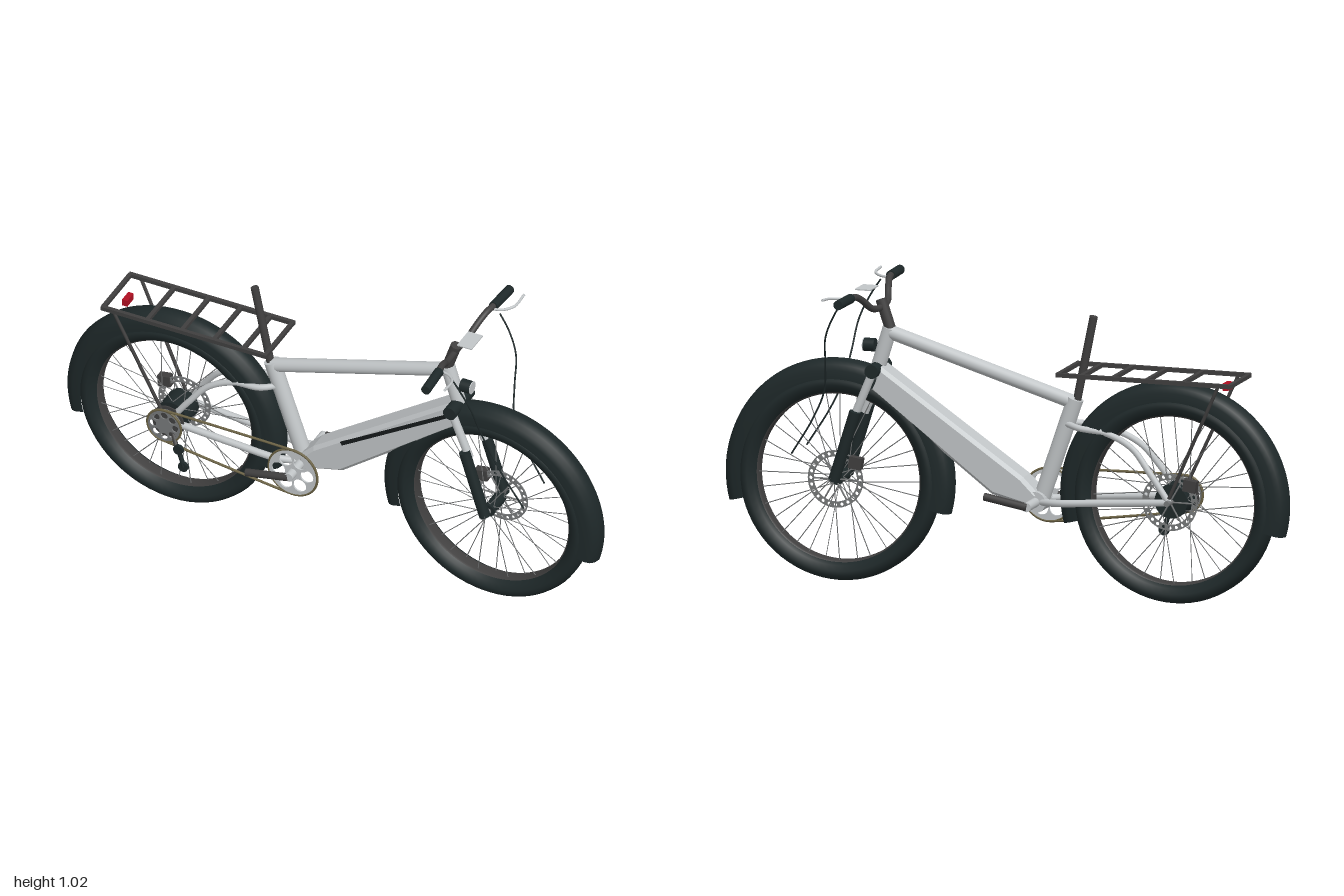
import * as THREE from 'three';

const mat = (name, color) => {
  const m = new THREE.MeshStandardMaterial({ color, side: THREE.DoubleSide });
  m.name = name;
  return m;
};
const V = (x, y, z) => new THREE.Vector3(x, y, z);

export function createModel() {
  const model = new THREE.Group();
  model.name = 'bicycle';
  const silver = mat('frame silver', 0xc2c6c8);
  const rubber = mat('tyre black', 0x1e2829);
  const dark = mat('dark grey metal', 0x403f3f);
  const black = mat('black', 0x15191a);
  const steel = mat('spoke steel', 0x77797a);
  const red = mat('red lens', 0xb01022);
  const brass = mat('chain bronze', 0x6a6143);

  const add = (name, geo, material, parent = model) => {
    const m = new THREE.Mesh(geo, material);
    m.name = name;
    parent.add(m);
    return m;
  };
  // straight round bar from a to b
  const rod = (name, a, b, r, material, parent = model, sides = 16) => {
    const d = b.clone().sub(a);
    const m = add(name, new THREE.CylinderGeometry(r, r, d.length(), sides), material, parent);
    m.position.copy(a).addScaledVector(d, 0.5);
    m.quaternion.setFromUnitVectors(V(0, 1, 0), d.normalize());
    return m;
  };
  const bent = (name, pts, r, material, closed = false, seg = 40) =>
    add(name, new THREE.TubeGeometry(new THREE.CatmullRomCurve3(pts, closed), seg, r, 10, closed), material);
  const box = (name, w, h, d, x, y, z, material) => {
    const m = add(name, new THREE.BoxGeometry(w, h, d), material);
    m.position.set(x, y, z);
    return m;
  };
  // lathe turned so that its axis runs along z
  const spin = (pts, seg, start = 0, len = Math.PI * 2) =>
    new THREE.LatheGeometry(pts.map(p => new THREE.Vector2(p[0], p[1])), seg, start, len).rotateX(Math.PI / 2);
  // disc with a ring of holes, facing z
  const drilled = (r, bore, count, at, hole, depth) => {
    const s = new THREE.Shape().absarc(0, 0, r, 0, Math.PI * 2);
    const cut = (x, y, q) => s.holes.push(new THREE.Path().absarc(x, y, q, 0, Math.PI * 2, true));
    if (bore) cut(0, 0, bore);
    for (let i = 0; i < count; i++) {
      const a = (i / count) * Math.PI * 2;
      cut(at * Math.cos(a), at * Math.sin(a), hole);
    }
    return new THREE.ExtrudeGeometry(s, { depth, bevelEnabled: false, curveSegments: 24 }).translate(0, 0, -depth / 2);
  };

  const AY = 0.353, RX = -0.597, FX = 0.59;
  const BX = -0.115, BY = 0.318;

  // wheels with tyre, rim, mudguard, spokes, hub and brake disc
  const tyre = spin([[0.291, -0.022], [0.3, -0.036], [0.318, -0.047], [0.333, -0.047], [0.346, -0.036], [0.353, -0.015],
    [0.353, 0.015], [0.346, 0.036], [0.333, 0.047], [0.318, 0.047], [0.3, 0.036], [0.291, 0.022]], 72);
  const rim = spin([[0.291, 0.022], [0.286, 0.018], [0.286, -0.018], [0.291, -0.022]], 72);
  const guard = spin([[0.34, -0.048], [0.37, -0.047], [0.388, -0.039], [0.4, -0.024], [0.406, 0],
    [0.4, 0.024], [0.388, 0.039], [0.37, 0.047], [0.34, 0.048]], 56, Math.PI * 0.418, Math.PI * 1.164);
  for (const [side, x] of [['rear', RX], ['front', FX]]) {
    const w = new THREE.Group();
    w.name = side + 'Wheel';
    w.position.set(x, AY, 0);
    model.add(w);
    add('tyre', tyre, rubber, w);
    add('rim', rim, dark, w);
    add('mudguard', guard, rubber, w);
    const hub = side === 'rear' ? 0.058 : 0.022;
    rod('hub', V(0, 0, -0.045), V(0, 0, 0.045), hub, rubber, w, 28);
    rod('axle', V(0, 0, -0.09), V(0, 0, 0.09), 0.01, steel, w);
    for (let i = 0; i < 32; i++) {
      const a = (i / 32) * Math.PI * 2, z = i % 2 ? 0.035 : -0.035;
      const b = a + (i % 4 < 2 ? 0.55 : -0.55);
      rod('spoke', V(hub * Math.cos(b), hub * Math.sin(b), z), V(0.29 * Math.cos(a), 0.29 * Math.sin(a), z * 0.3), 0.0017, steel, w, 4);
    }
    const disc = add('brakeDisc', drilled(0.098, 0.077, 24, 0.0875, 0.006, 0.004), steel, w);
    disc.position.z = -0.054;
    for (let i = 0; i < 6; i++) {
      const a = (i / 6) * Math.PI * 2;
      rod('discArm', V(0, 0, -0.054), V(0.08 * Math.cos(a), 0.08 * Math.sin(a), -0.054), 0.003, steel, w, 6);
    }
    box(side + 'Caliper', 0.045, 0.04, 0.03, x - 0.075, 0.415, -0.06, dark).rotation.z = 0.15;
  }

  // main frame
  rod('seatTube', V(-0.125, 0.33, 0), V(-0.243, 0.675, 0), 0.028, silver, model, 24);
  rod('topTube', V(-0.24, 0.66, 0), V(0.42, 0.86, 0), 0.024, silver, model, 24);
  rod('headTube', V(0.415, 0.873, 0), V(0.462, 0.72, 0), 0.025, silver, model, 24);
  rod('bottomBracket', V(BX, BY, -0.045), V(BX, BY, 0.045), 0.036, silver, model, 24);

  // boxy down tube with chamfered edges and a dark slot
  const outline = [[0.435, 0.745], [0.475, 0.665], [0.04, 0.335], [-0.12, 0.295], [-0.125, 0.345], [-0.07, 0.4]];
  const body = new THREE.Shape(outline.map(p => new THREE.Vector2(p[0], p[1])));
  add('downTube', new THREE.ExtrudeGeometry(body, {
    depth: 0.071, bevelThickness: 0.014, bevelSize: 0.012, bevelOffset: -0.012, bevelSegments: 1,
  }).translate(0, 0, -0.0355), silver);
  const slot = box('batterySlot', 0.465, 0.014, 0.004, 0.238, 0.578, 0.0495, black);
  slot.rotation.z = Math.atan2(0.245, 0.395);

  // stays
  for (const s of [1, -1]) {
    bent('chainStay', [V(-0.12, 0.318, s * 0.03), V(-0.2, 0.323, s * 0.058), V(-0.35, 0.335, s * 0.064), V(RX, AY, s * 0.066)], 0.0125, silver);
    bent('seatStay', [V(-0.215, 0.59, s * 0.015), V(-0.27, 0.582, s * 0.042), V(-0.37, 0.568, s * 0.038), V(-0.46, 0.525, s * 0.045),
      V(-0.525, 0.45, s * 0.058), V(RX, AY, s * 0.066)], 0.011, silver);
  }

  // seat post
  rod('seatPost', V(-0.245, 0.65, 0), V(-0.308, 0.96, 0), 0.014, dark);

  // fork
  rod('forkCrown', V(0.457, 0.732, -0.073), V(0.457, 0.732, 0.073), 0.024, rubber, model, 20);
  for (const s of [1, -1]) {
    rod('forkUpper', V(0.463, 0.715, s * 0.056), V(0.525, 0.565, s * 0.058), 0.0145, silver);
    rod('forkLower', V(0.514, 0.592, s * 0.073), V(0.59, 0.35, s * 0.073), 0.0195, rubber);
  }

  // stem, handlebar, grips, levers and cables
  rod('stem', V(0.414, 0.87, 0), V(0.447, 0.968, 0), 0.019, dark);
  const half = [[0.447, 0.945, 0.055], [0.453, 0.955, 0.09], [0.466, 0.985, 0.13], [0.477, 1.005, 0.17], [0.485, 1.008, 0.215], [0.49, 1.005, 0.3]];
  bent('handlebar', [...half.slice().reverse().map(p => V(p[0], p[1], -p[2])), V(0.444, 0.942, 0), ...half.map(p => V(...p))], 0.0115, dark, false, 80);
  for (const s of [1, -1]) {
    rod('grip', V(0.484, 1.007, s * 0.205), V(0.49, 1.005, s * 0.318), 0.0165, rubber);
    bent('brakeLever', [V(0.49, 1.003, s * 0.195), V(0.52, 1.004, s * 0.205), V(0.548, 1.008, s * 0.235), V(0.552, 1.014, s * 0.3)], 0.0045, silver);
    bent('brakeCable', [V(0.515, 0.995, s * 0.192), V(0.55, 0.94, s * 0.188), V(0.585, 0.86, s * 0.172), V(0.598, 0.76, s * 0.135),
      V(0.615, 0.66, s * 0.099), V(0.66, 0.56, s * 0.087), V(0.738, 0.435, s * 0.078)], 0.003, rubber);
  }
  box('display', 0.055, 0.004, 0.086, 0.498, 1.004, 0, silver);

  // headlight
  rod('headlight', V(0.467, 0.81, 0), V(0.505, 0.81, 0), 0.0225, rubber, model, 24);
  rod('headlightLens', V(0.505, 0.81, 0), V(0.508, 0.81, 0), 0.0225, silver, model, 24);

  // luggage rack and rear light
  for (const s of [1, -1]) {
    box('rackRail', 0.62, 0.014, 0.014, -0.52, 0.773, s * 0.104, dark);
    rod('rackLeg', V(-0.785, 0.77, s * 0.104), V(RX - 0.005, 0.37, s * 0.08), 0.006, dark, model, 10);
  }
  for (const x of [-0.825, -0.66, -0.53, -0.41, -0.3, -0.217]) box('rackBar', 0.014, 0.013, 0.208, x, 0.773, 0, dark);
  box('rearLight', 0.02, 0.024, 0.048, -0.783, 0.753, 0, red);

  // sprockets, chainring and cranks
  [0.06, 0.053, 0.046].forEach((r, i) => rod('sprocket', V(RX, AY, 0.068 + i * 0.01), V(RX, AY, 0.073 + i * 0.01), r, i % 2 ? steel : dark, model, 32));
  const cog = add('outerSprocket', drilled(0.06, 0, 8, 0.042, 0.013, 0.005), steel);
  cog.position.set(RX, AY, 0.1);
  const ring = add('chainring', drilled(0.088, 0, 6, 0.053, 0.0245, 0.006), silver);
  ring.position.set(BX, BY, 0.1);
  rod('crankSpindle', V(BX, BY, -0.135), V(BX, BY, 0.135), 0.016, silver);
  rod('crankArmRight', V(-0.12, 0.315, 0.13), V(-0.275, 0.285, 0.13), 0.0135, dark);
  rod('crankArmLeft', V(-0.115, 0.318, -0.132), V(0.035, 0.345, -0.132), 0.0135, dark);

  // toothed rims and chain loop
  const loop = [];
  for (const [x, y, r, start] of [[RX, AY, 0.063, 0.5], [BX, BY, 0.091, -0.5]]) {
    add('toothedRim', new THREE.TorusGeometry(r, 0.004, 8, 48), brass).position.set(x, y, 0.1);
    for (let i = 0; i <= 16; i++) {
      const a = Math.PI * (start + i / 16);
      loop.push(V(x + r * Math.cos(a), y + r * Math.sin(a), 0.1));
    }
  }
  bent('chain', loop, 0.0045, brass, true, 160);

  // derailleur
  rod('derailleurHanger', V(RX, AY, 0.06), V(-0.545, 0.29, 0.112), 0.008, dark);
  rod('derailleurCage', V(-0.54, 0.29, 0.114), V(-0.515, 0.22, 0.117), 0.008, rubber);
  for (const [x, y] of [[-0.535, 0.285], [-0.517, 0.22]]) rod('jockeyWheel', V(x, y, 0.111), V(x, y, 0.123), 0.018, rubber, model, 20);

  return model;
}
